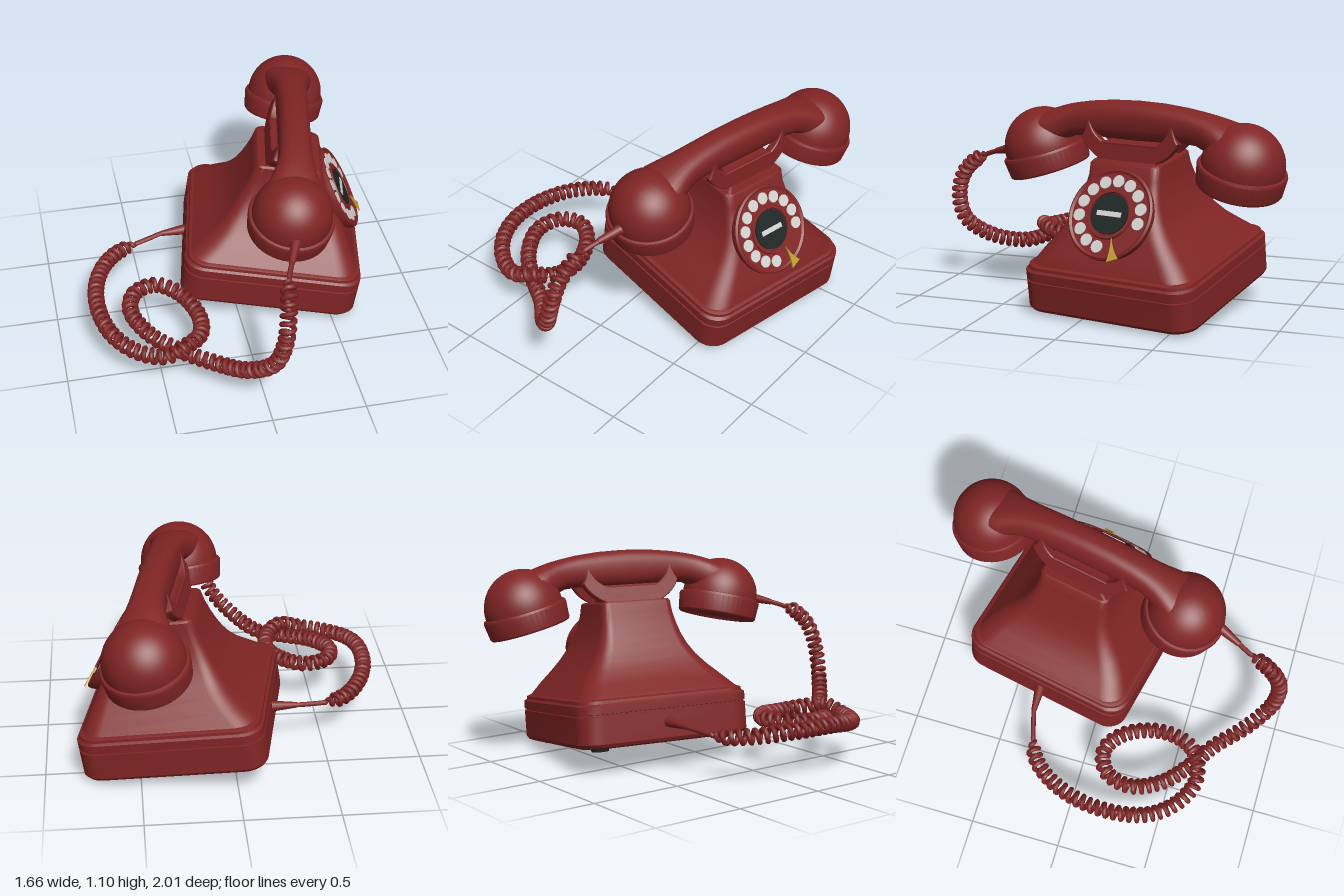
import * as THREE from 'three';
import { toCreasedNormals } from 'three/addons/utils/BufferGeometryUtils.js';

const mat = (name, color) => Object.assign(new THREE.MeshStandardMaterial({ color }), { name });
const V = (x, y, z) => new THREE.Vector3(x, y, z);
const P = (x, y) => new THREE.Vector2(x, y);

function add(parent, name, geometry, material, x = 0, y = 0, z = 0) {
  const mesh = new THREE.Mesh(geometry, material);
  mesh.name = name;
  mesh.position.set(x, y, z);
  parent.add(mesh);
  return mesh;
}

// Closed skin over equal-length rings, with fan caps at both ends
function loft(rings, crease) {
  const n = rings[0].length, pos = [], idx = [];
  rings.forEach(r => r.forEach(p => pos.push(p.x, p.y, p.z)));
  for (let i = 0; i < rings.length - 1; i++) {
    for (let j = 0; j < n; j++) {
      const a = i * n + j, b = i * n + (j + 1) % n;
      idx.push(a, a + n, b, b, a + n, b + n);
    }
  }
  [rings[0], rings[rings.length - 1]].forEach((ring, k) => {
    const c = ring.reduce((s, p) => s.add(p), V(0, 0, 0)).divideScalar(n);
    const centre = pos.length / 3, start = k ? (rings.length - 1) * n : 0;
    pos.push(c.x, c.y, c.z);
    for (let j = 0; j < n; j++) {
      const a = start + j, b = start + (j + 1) % n;
      if (k) idx.push(centre, b, a); else idx.push(centre, a, b);
    }
  });
  const g = new THREE.BufferGeometry();
  g.setAttribute('position', new THREE.Float32BufferAttribute(pos, 3));
  g.setIndex(idx);
  return toCreasedNormals(g, crease);
}

// Horizontal rounded rectangle: back x, front x, half width, corner radius
function roundedRing(y, back, front, half, r) {
  const pts = [];
  for (let q = 0; q < 4; q++) {
    const cx = q === 0 || q === 3 ? front - r : back + r;
    const cz = q < 2 ? half - r : r - half;
    for (let k = 0; k <= 8; k++) {
      const a = (q + k / 8) * Math.PI / 2;
      pts.push(V(cx + r * Math.cos(a), y, cz + r * Math.sin(a)));
    }
  }
  return pts;
}

// Thin tapered sleeve between two points
function sleeve(parent, name, from, to, r0, r1, material) {
  const mesh = add(parent, name, new THREE.CylinderGeometry(r1, r0, from.distanceTo(to), 16), material);
  mesh.position.copy(from).lerp(to, 0.5);
  mesh.quaternion.setFromUnitVectors(V(0, 1, 0), to.clone().sub(from).normalize());
}

export function createModel() {
  const red = mat('dark red', 0x802424);
  const black = mat('black', 0x1c2222);
  const white = mat('off white', 0xd2d2d0);
  const gold = mat('gold', 0xbf9b30);

  const model = new THREE.Group();
  model.name = 'rotaryTelephone';

  // The telephone is turned and leans towards its dial; inside, +x is the dial side
  const phone = new THREE.Group();
  phone.name = 'telephone';
  phone.position.set(0.24, 0.085, -0.237);
  phone.rotation.set(0, -0.2, -0.148, 'YXZ');
  model.add(phone);

  // Base slab with a groove and a stepped top edge: height, half size
  const slab = [[0, 0.465], [0.008, 0.48], [0.025, 0.49], [0.168, 0.49], [0.17, 0.483], [0.178, 0.483],
    [0.18, 0.49], [0.222, 0.49], [0.232, 0.478], [0.248, 0.476], [0.256, 0.46]];
  add(phone, 'base', loft(slab.map(([y, s]) => roundedRing(y, -s, s, s, 0.11)), 0.5), red);

  // Flared body: height, back, front, half width, corner radius
  const profile = [[0.25, -0.465, 0.462, 0.462, 0.11], [0.27, -0.445, 0.455, 0.445, 0.11],
    [0.32, -0.385, 0.425, 0.405, 0.1], [0.38, -0.325, 0.39, 0.35, 0.09], [0.44, -0.285, 0.355, 0.3, 0.08],
    [0.5, -0.255, 0.318, 0.262, 0.07], [0.56, -0.23, 0.28, 0.236, 0.06], [0.62, -0.207, 0.24, 0.219, 0.05],
    [0.68, -0.188, 0.205, 0.208, 0.045], [0.74, -0.175, 0.185, 0.203, 0.04], [0.75, -0.165, 0.175, 0.193, 0.035]];
  add(phone, 'body', loft(profile.map(row => roundedRing(...row)), 0.7), red);

  // Feet
  for (const x of [-0.35, 0.35]) for (const z of [-0.35, 0.35]) {
    add(phone, 'foot', new THREE.CylinderGeometry(0.052, 0.045, 0.03, 24), black, x, -0.008, z);
  }

  // Cradle: a saddle block between two horned side plates
  add(phone, 'cradleBlock', new THREE.BoxGeometry(0.22, 0.1, 0.3), red, 0, 0.785, 0);
  const horn = new THREE.Shape();
  horn.moveTo(-0.14, 0);
  horn.lineTo(0.14, 0);
  horn.quadraticCurveTo(0.24, 0.04, 0.275, 0.115);
  horn.quadraticCurveTo(0.25, 0.15, 0.243, 0.205);
  horn.quadraticCurveTo(0.225, 0.13, 0.16, 0.095);
  horn.lineTo(-0.16, 0.095);
  horn.quadraticCurveTo(-0.225, 0.13, -0.243, 0.205);
  horn.quadraticCurveTo(-0.25, 0.15, -0.275, 0.115);
  horn.quadraticCurveTo(-0.24, 0.04, -0.14, 0);
  const hornGeo = new THREE.ExtrudeGeometry(horn, { depth: 0.035, bevelEnabled: true, bevelSize: 0.005, bevelThickness: 0.005, bevelSegments: 1 });
  hornGeo.translate(0, 0, -0.0175);
  for (const s of [-1, 1]) {
    add(phone, 'cradleHorns', hornGeo, red, s * 0.105, 0.738, 0).rotation.set(-0.2, s * Math.PI / 2, 0, 'YXZ');
  }

  // Dial, facing +z inside its own group
  const dial = new THREE.Group();
  dial.name = 'dial';
  dial.position.set(0.334, 0.537, 0);
  dial.rotation.set(-0.63, Math.PI / 2, 0, 'YXZ');
  phone.add(dial);
  const plate = new THREE.LatheGeometry([P(0.222, -0.06), P(0.238, -0.02), P(0.238, 0), P(0.228, 0.008), P(0.216, 0),
    P(0.132, 0), P(0.128, 0.01), P(0.114, 0.01), P(0.11, 0), P(0, 0)], 56);
  plate.rotateX(Math.PI / 2);
  add(dial, 'dialPlate', toCreasedNormals(plate, 0.5), red);
  add(dial, 'dialCentre', new THREE.CylinderGeometry(0.106, 0.106, 0.008, 40), black, 0, 0, 0.004).rotation.x = Math.PI / 2;
  add(dial, 'dialLabel', new THREE.BoxGeometry(0.14, 0.026, 0.006), white, 0, 0, 0.009);
  for (let i = 0; i < 12; i++) {
    const a = THREE.MathUtils.degToRad(261 - i * 24.7);
    add(dial, 'fingerHole', new THREE.CylinderGeometry(0.032, 0.032, 0.006, 24), white,
      0.174 * Math.cos(a), 0.174 * Math.sin(a), 0.002).rotation.x = Math.PI / 2;
  }
  const stop = new THREE.Shape();
  stop.moveTo(0.05, -0.12);
  stop.quadraticCurveTo(0.07, -0.18, 0.115, -0.222);
  stop.lineTo(0.055, -0.246);
  stop.quadraticCurveTo(0.064, -0.19, 0.05, -0.12);
  add(dial, 'fingerStop', new THREE.ExtrudeGeometry(stop, { depth: 0.009, bevelEnabled: false }), gold, 0, 0, 0.009);

  // Handset grip: position along the grip, top, bottom, half width
  const handset = new THREE.Group();
  handset.name = 'handset';
  phone.add(handset);
  const half = [[0.6, 0.92, 0.72, 0.14], [0.53, 0.95, 0.73, 0.145], [0.47, 0.97, 0.765, 0.125], [0.42, 0.985, 0.805, 0.106],
    [0.36, 0.998, 0.832, 0.094], [0.28, 1.012, 0.838, 0.088], [0.15, 1.026, 0.832, 0.086]];
  const sections = [...half, [0, 1.031, 0.829, 0.086], ...half.map(([w, ...r]) => [-w, ...r]).reverse()];
  const bend = (c) => Math.sign(c) * Math.pow(Math.abs(c), 0.8);
  add(handset, 'grip', loft(sections.map(([w, top, bottom, hw]) => Array.from({ length: 32 }, (_, k) => {
    const a = k / 32 * Math.PI * 2;
    return V(hw * bend(Math.cos(a)), (top + bottom) / 2 + (top - bottom) / 2 * bend(Math.sin(a)), w);
  })), 1), red);

  // Domed cups with a flanged cap
  const cup = [P(0, 0.012), P(0.185, 0.012), P(0.195, 0), P(0.214, 0), P(0.22, 0.008), P(0.229, 0.098), P(0.224, 0.11), P(0.211, 0.113)];
  for (let i = 0; i <= 16; i++) {
    const a = i / 16 * Math.PI / 2;
    cup.push(P(Math.max(0, 0.211 * Math.cos(a)), 0.12 + 0.211 * Math.sin(a)));
  }
  const cupGeo = toCreasedNormals(new THREE.LatheGeometry(cup, 48), 0.5);
  for (const s of [-1, 1]) {
    add(handset, s > 0 ? 'mouthpiece' : 'earpiece', cupGeo, red, 0.005, 0.63, s * 0.56).rotation.x = s * 0.25;
  }

  // Coiled cord: a helix wound round a guide path, straight at both ends
  const guide = new THREE.CatmullRomCurve3([
    V(0.205, 0.795, 0.57), V(0.16, 0.765, 0.675), V(0.125, 0.735, 0.76), V(0.11, 0.7, 0.83), V(0.09, 0.62, 0.91),
    V(0.07, 0.5, 0.952), V(0.02, 0.345, 0.94), V(-0.1, 0.23, 0.84), V(-0.25, 0.175, 0.69), V(-0.4, 0.19, 0.59),
    V(-0.54, 0.22, 0.47), V(-0.62, 0.25, 0.3), V(-0.58, 0.26, 0.16), V(-0.46, 0.26, 0.115), V(-0.34, 0.25, 0.2),
    V(-0.265, 0.23, 0.38), V(-0.29, 0.24, 0.54), V(-0.37, 0.255, 0.62), V(-0.49, 0.22, 0.645), V(-0.63, 0.22, 0.58),
    V(-0.735, 0.24, 0.46), V(-0.785, 0.26, 0.3), V(-0.78, 0.26, 0.08), V(-0.715, 0.25, -0.11), V(-0.62, 0.24, -0.23),
    V(-0.52, 0.24, -0.28), V(-0.42, 0.25, -0.31), V(-0.34, 0.26, -0.33), V(-0.24, 0.262, -0.335)]);
  guide.arcLengthDivisions = 1000;
  const length = guide.getLength(), turns = Math.round((length - 0.5) / 0.037), steps = turns * 14;
  const frames = guide.computeFrenetFrames(steps);
  const path = [];
  for (let i = 0; i <= steps; i++) {
    const t = i / steps, s = t * length, a = t * turns * Math.PI * 2;
    const r = 0.033 * THREE.MathUtils.smoothstep(s, 0.2, 0.28) * THREE.MathUtils.smoothstep(length - s, 0.26, 0.36);
    path.push(guide.getPointAt(t).addScaledVector(frames.normals[i], r * Math.cos(a))
      .addScaledVector(frames.binormals[i], r * Math.sin(a)));
  }
  const coil = new THREE.CatmullRomCurve3(path);
  coil.arcLengthDivisions = steps * 2;
  add(model, 'coiledCord', new THREE.TubeGeometry(coil, steps, 0.0135, 7), red);

  // Strain reliefs where the cord meets the handset and the base
  sleeve(model, 'handsetSleeve', V(0.22, 0.805, 0.53), V(0.158, 0.764, 0.68), 0.032, 0.016, red);
  sleeve(model, 'baseSleeve', V(-0.21, 0.262, -0.335), V(-0.35, 0.259, -0.328), 0.03, 0.015, red);

  return model;
}
